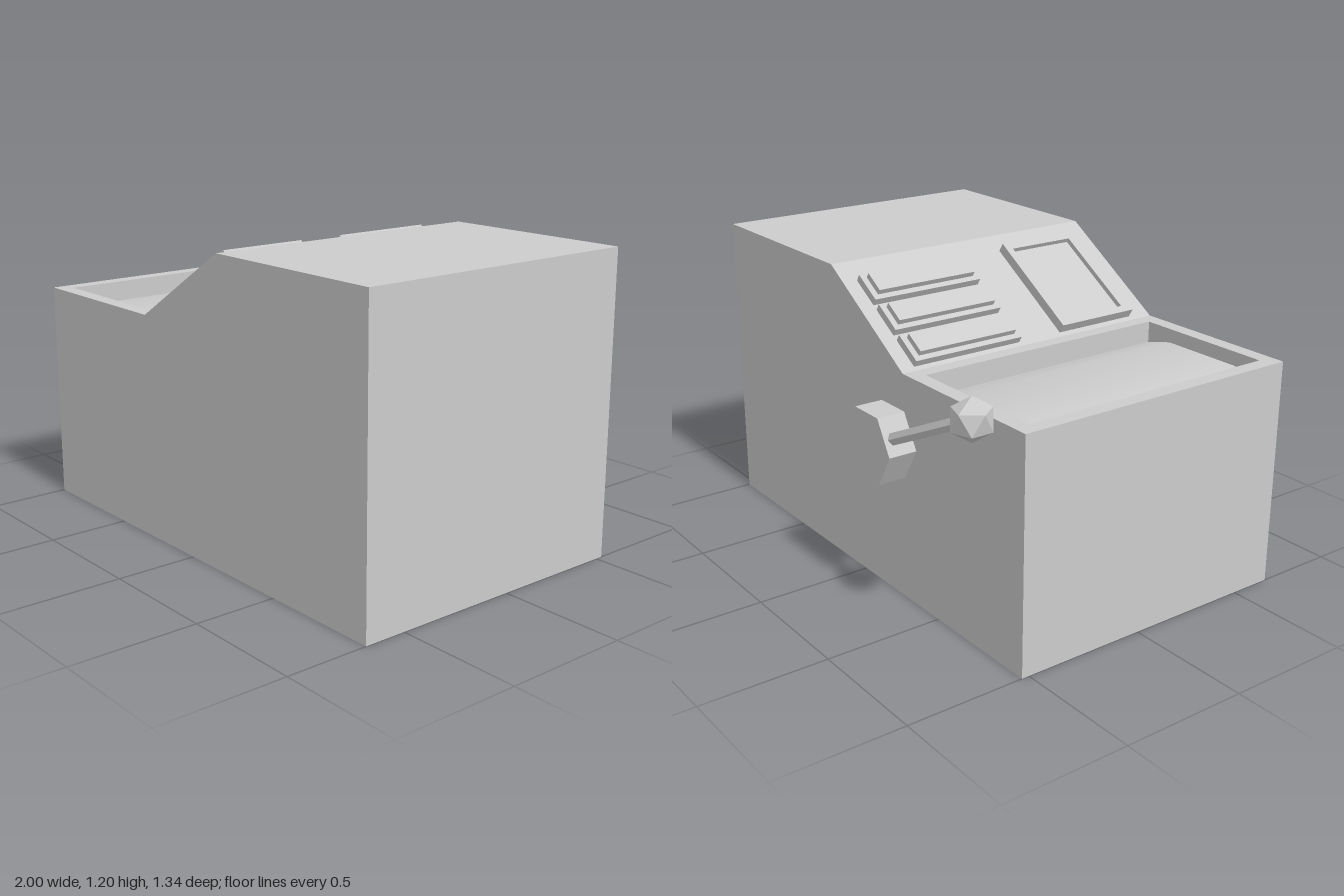
import * as THREE from 'three';
import { mergeGeometries, toCreasedNormals } from 'three/addons/utils/BufferGeometryUtils.js';

const BACK = -0.53, FRONT = 0.67;
const v2 = (pts) => pts.map(([x, y]) => new THREE.Vector2(x, y));

function flat(geometry) {
  const g = geometry.index ? geometry.toNonIndexed() : geometry;
  g.deleteAttribute('uv');
  g.computeVertexNormals();
  return g;
}

// Quads sweeping an x/y path from z0 to z1, facing right of the path direction
function strip(pts, z0, z1) {
  const pos = [];
  for (let i = 0; i < pts.length - 1; i++) {
    const [a, b] = [pts[i], pts[i + 1]];
    pos.push(...a, z1, ...a, z0, ...b, z0, ...a, z1, ...b, z0, ...b, z1);
  }
  const g = new THREE.BufferGeometry();
  g.setAttribute('position', new THREE.Float32BufferAttribute(pos, 3));
  return flat(g);
}

// Flat x/y polygon at depth z, facing +z or -z
function face(pts, z, facing) {
  const g = new THREE.ShapeGeometry(new THREE.Shape(v2(pts)));
  if (facing < 0) g.index.array.reverse();
  return flat(g.translate(0, 0, z));
}

// Rectangle in x/z with a rectangular hole, to be laid flat
function rectRing(x0, x1, z0, z1, hx0, hx1, hz0, hz1) {
  const shape = new THREE.Shape(v2([[x0, -z1], [x1, -z1], [x1, -z0], [x0, -z0]]));
  shape.holes.push(new THREE.Path(v2([[hx0, -hz1], [hx0, -hz0], [hx1, -hz0], [hx1, -hz1]])));
  return shape;
}

export function createModel() {
  const model = new THREE.Group();
  const grey = new THREE.MeshStandardMaterial({ color: 0xcccccc });
  grey.name = 'light grey';
  const add = (name, geometry, parent = model) => {
    const mesh = new THREE.Mesh(geometry, grey);
    mesh.name = name;
    parent.add(mesh);
    return mesh;
  };

  // Cabinet shell, with an opening in the low deck
  const profile = [[-1, 0.9], [-1, 0], [1, 0], [1, 1.2], [0.19, 1.2], [-0.29, 0.9]];
  const deck = new THREE.ShapeGeometry(
    rectRing(-1, -0.29, BACK, FRONT, -0.94, -0.35, -0.47, 0.61));
  deck.rotateX(-Math.PI / 2).translate(0, 0.9, 0);
  add('cabinet', mergeGeometries([
    strip(profile, BACK, FRONT),
    face(profile, FRONT, 1),
    face(profile, BACK, -1),
    flat(deck),
  ]));

  // Recessed screen with a gently bulging floor
  const floor = [[-0.35, 0.815], [-0.47, 0.845], [-0.82, 0.845], [-0.94, 0.815]];
  const well = [[-0.35, 0.9], ...floor, [-0.94, 0.9]];
  add('screenWell', mergeGeometries([
    strip(well.slice(0, 2), -0.47, 0.61),
    strip(well.slice(-2), -0.47, 0.61),
    face(well, -0.47, 1),
    face(well, 0.61, -1),
  ]));
  add('screen', toCreasedNormals(strip(floor, -0.47, 0.61), 0.5));

  // Sloped control panel: local x runs up the slope, y points out of it
  const controls = new THREE.Group();
  controls.name = 'controlPanel';
  controls.position.set(-0.29, 0.9, 0);
  controls.rotation.z = Math.atan2(0.3, 0.48);
  model.add(controls);

  const block = (name, x0, x1, y0, y1, z0, z1) =>
    add(name, new THREE.BoxGeometry(x1 - x0, y1 - y0, z1 - z0), controls)
      .position.set((x0 + x1) / 2, (y0 + y1) / 2, (z0 + z1) / 2);

  // Framed display
  const frame = new THREE.ExtrudeGeometry(
    rectRing(0.02, 0.48, 0.21, 0.57, 0.05, 0.445, 0.24, 0.53),
    { depth: 0.04, bevelEnabled: false });
  add('displayFrame', frame.rotateX(-Math.PI / 2), controls);
  block('displayPlate', 0.05, 0.445, 0, 0.02, 0.24, 0.53);

  // Three stepped buttons
  for (let i = 0; i < 3; i++) {
    const s = 0.019 + i * 0.157;
    block('buttonBase', s, s + 0.132, 0, 0.03, -0.47, 0.01);
    block('buttonCap', s + 0.022, s + 0.112, 0.03, 0.053, -0.447, -0.012);
  }

  // Side lever: hexagonal hub, rod and faceted knob
  const hub = new THREE.CylinderGeometry(0.15, 0.15, 0.118, 6);
  hub.rotateY(Math.PI / 6).rotateX(Math.PI / 2);
  // Turn a corner of the hexagon to point along x
  const hubPos = hub.attributes.position;
  const atCorner = Math.abs(Math.abs(hubPos.getX(0)) - 0.15) < 0.01;
  if (!atCorner && ![1, 2].some((i) => Math.abs(Math.abs(hubPos.getX(i)) - 0.15) < 0.01)) {
    hub.rotateZ(Math.PI / 6);
  }
  add('leverHub', flat(hub)).position.set(-0.22, 0.627, -0.586);

  const from = new THREE.Vector3(-0.26, 0.646, -0.603);
  const to = new THREE.Vector3(-0.81, 0.907, -0.603);
  const dir = to.clone().sub(from);
  const rod = add('leverRod', flat(new THREE.CylinderGeometry(0.026, 0.026, dir.length(), 6)));
  rod.position.copy(from).add(to).multiplyScalar(0.5);
  rod.quaternion.setFromUnitVectors(new THREE.Vector3(0, 1, 0), dir.normalize());

  const knob = add('leverKnob', flat(new THREE.IcosahedronGeometry(0.083, 0)));
  knob.position.copy(to);
  knob.rotation.z = Math.atan(2 / (1 + Math.sqrt(5)));

  return model;
}
